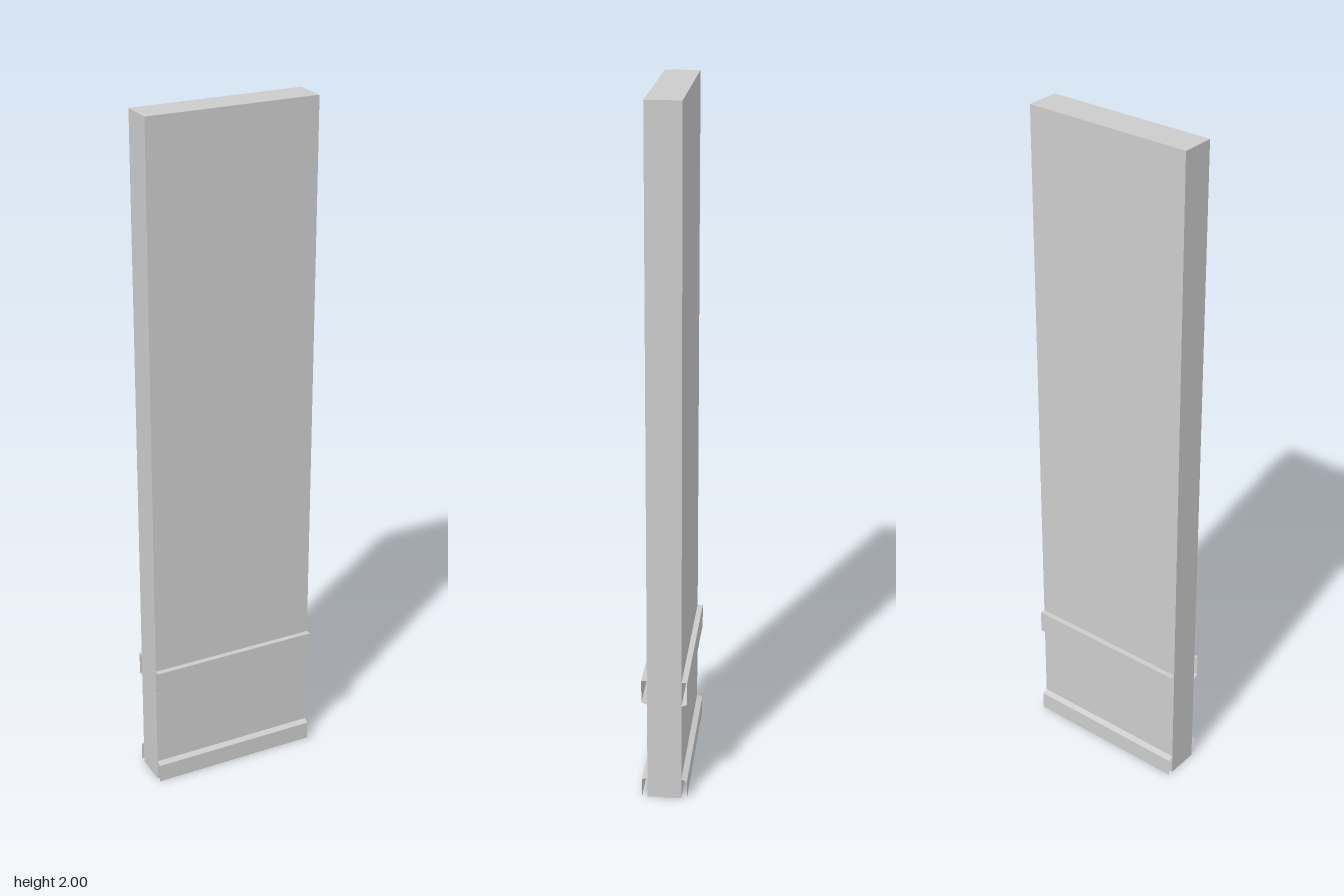
import * as THREE from 'three';

const W = 0.5, T = 0.049, OUT = 0.065;
const material = new THREE.MeshStandardMaterial({ color: 0xcccccc, flatShading: true, side: THREE.DoubleSide });

// Open strip swept along x from a (z, y) profile listed from top to bottom
function strip(name, profile) {
  const pos = [];
  const h = W / 2;
  for (let i = 0; i < profile.length - 1; i++) {
    const [z0, y0] = profile[i], [z1, y1] = profile[i + 1];
    pos.push(-h, y0, z0, -h, y1, z1, h, y1, z1, -h, y0, z0, h, y1, z1, h, y0, z0);
  }
  const g = new THREE.BufferGeometry();
  g.setAttribute('position', new THREE.Float32BufferAttribute(pos, 3));
  g.computeVertexNormals();
  const mesh = new THREE.Mesh(g, material);
  mesh.name = name;
  return mesh;
}

export function createModel() {
  const group = new THREE.Group();
  group.name = 'wallSection';

  // Wall panel, open underneath (box side 3 is the bottom)
  const box = new THREE.BoxGeometry(W, 2, T * 2).translate(0, 1, 0);
  const index = Array.from(box.index.array);
  index.splice(18, 6);
  box.setIndex(index);
  box.clearGroups();
  const panel = new THREE.Mesh(box, material);
  panel.name = 'wallPanel';
  group.add(panel);

  // Rail and baseboard on both faces, without end caps
  for (const side of ['front', 'back']) {
    const trim = new THREE.Group();
    trim.name = side + 'Trim';
    trim.add(
      strip(side + 'Rail', [[T, 0.375], [OUT, 0.375], [OUT, 0.306], [T, 0.3]]),
      strip(side + 'Baseboard', [[T, 0.062], [OUT, 0.055], [OUT, 0]])
    );
    if (side === 'back') trim.rotation.y = Math.PI;
    group.add(trim);
  }
  return group;
}
